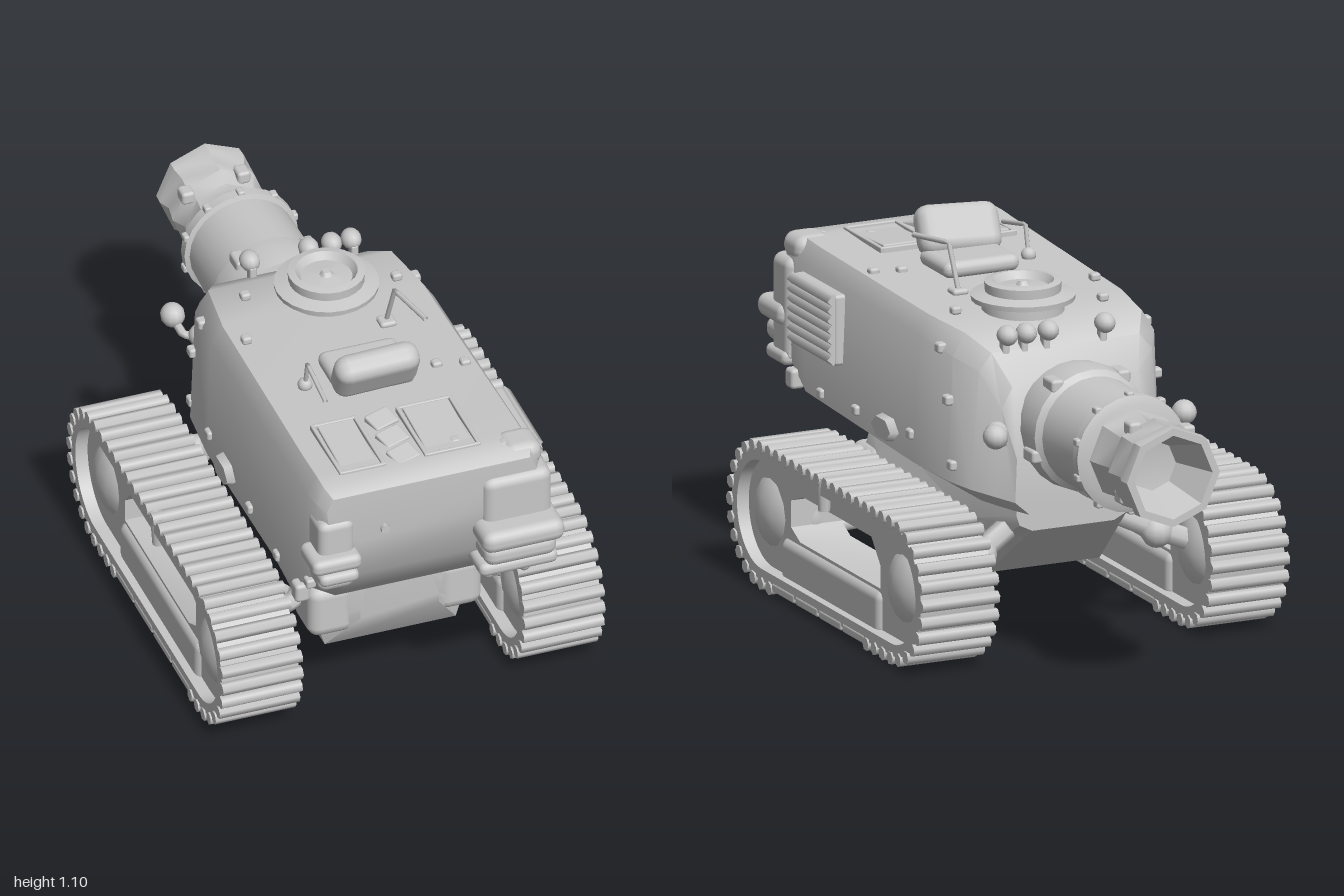
import * as THREE from 'three';
import { toCreasedNormals } from 'three/addons/utils/BufferGeometryUtils.js';
import { RoundedBoxGeometry } from 'three/addons/geometries/RoundedBoxGeometry.js';

const V = (x, y, z) => new THREE.Vector3(x, y, z);

// Closed skin over sections [z, yBottom, wBottom, yMid, wMid, yShoulder, wShoulder, yTop, wTop]
function loft(sections, crease = 0.6) {
  const pos = [], idx = [], n = 8;
  for (const [z, yb, wb, ym, wm, ys, ws, yt, wt] of sections) {
    const ring = [[-wb, yb], [wb, yb], [wm, ym], [ws, ys], [wt, yt], [-wt, yt], [-ws, ys], [-wm, ym]];
    for (const [x, y] of ring) pos.push(x, y, z);
  }
  const last = (sections.length - 1) * n;
  for (let i = 0; i < last; i += n) {
    for (let j = 0; j < n; j++) {
      const a = i + j, b = i + (j + 1) % n, c = b + n, d = a + n;
      idx.push(a, d, b, b, d, c);
    }
  }
  for (let j = 1; j < n - 1; j++) idx.push(0, j, j + 1, last, last + j + 1, last + j);
  const g = new THREE.BufferGeometry();
  g.setAttribute('position', new THREE.Float32BufferAttribute(pos, 3));
  g.setIndex(idx);
  return toCreasedNormals(g, crease);
}

// Capsule outline in the (z, y) plane
function capsule(Shape, r) {
  const s = new Shape();
  s.absarc(0.54, 0.22, r, Math.PI / 2, -Math.PI / 2, true);
  s.absarc(-0.32, 0.22, r, -Math.PI / 2, -Math.PI * 1.5, true);
  s.closePath();
  return s;
}

// Extrude a (z, y) shape to a width along x, centred on x = 0
function sideways(shape, width) {
  const g = new THREE.ExtrudeGeometry(shape, { depth: width, bevelEnabled: false, curveSegments: 14 });
  return toCreasedNormals(g.translate(0, 0, -width / 2).rotateY(-Math.PI / 2), 0.6);
}

export function createModel() {
  const model = new THREE.Group();
  const grey = new THREE.MeshStandardMaterial({ color: 0xc8c8c8, side: THREE.DoubleSide });
  grey.name = 'lightGrey';

  const add = (name, geometry, x = 0, y = 0, z = 0, parent = model) => {
    const m = new THREE.Mesh(geometry, grey);
    m.name = name;
    m.position.set(x, y, z);
    parent.add(m);
    return m;
  };
  const box = (name, w, h, d, x, y, z, r = 0.01) =>
    add(name, new RoundedBoxGeometry(w, h, d, 2, Math.min(r, w / 2.1, h / 2.1, d / 2.1)), x, y, z);
  const ball = (name, r, x, y, z, sx = 1, sy = 1, sz = 1) =>
    add(name, new THREE.SphereGeometry(r, 12, 8).scale(sx, sy, sz), x, y, z);
  const rod = (name, r, points) => {
    const path = new THREE.CurvePath();
    for (let i = 1; i < points.length; i++) path.add(new THREE.LineCurve3(points[i - 1], points[i]));
    return add(name, new THREE.TubeGeometry(path, 16, r, 6), 0, 0, 0);
  };

  // Upper hull, tapering toward the gun
  add('upperHull', loft([
    [0.905, 0.76, 0.22, 0.79, 0.31, 0.89, 0.32, 0.93, 0.3],
    [0.87, 0.62, 0.24, 0.67, 0.335, 0.9, 0.34, 0.95, 0.315],
    [0.80, 0.52, 0.23, 0.58, 0.355, 0.895, 0.345, 0.95, 0.315],
    [0.70, 0.43, 0.22, 0.52, 0.36, 0.89, 0.345, 0.945, 0.315],
    [0, 0.42, 0.23, 0.49, 0.355, 0.87, 0.34, 0.925, 0.305],
    [-0.19, 0.41, 0.23, 0.48, 0.335, 0.85, 0.32, 0.915, 0.28],
    [-0.27, 0.41, 0.21, 0.47, 0.3, 0.82, 0.275, 0.87, 0.235],
    [-0.335, 0.41, 0.19, 0.46, 0.255, 0.72, 0.235, 0.78, 0.2],
    [-0.385, 0.41, 0.17, 0.45, 0.215, 0.58, 0.21, 0.63, 0.18],
  ]));

  // Belly between the tracks
  add('lowerHull', loft([
    [0.64, 0.28, 0.12, 0.31, 0.12, 0.38, 0.1, 0.44, 0.1],
    [0.56, 0.155, 0.2, 0.22, 0.22, 0.34, 0.25, 0.44, 0.22],
    [0.4, 0.15, 0.2, 0.22, 0.22, 0.34, 0.26, 0.44, 0.22],
    [-0.12, 0.17, 0.18, 0.23, 0.21, 0.34, 0.24, 0.44, 0.22],
    [-0.32, 0.34, 0.13, 0.36, 0.17, 0.39, 0.18, 0.43, 0.18],
  ]));

  // Running gear, one unit on each side
  const plate = capsule(THREE.Shape, 0.17);
  const gap = new THREE.Path();
  [[0.36, 0.18], [-0.17, 0.18], [-0.17, 0.25], [-0.11, 0.32], [0.34, 0.32], [0.42, 0.29], [0.42, 0.21]]
    .forEach(([z, y], i) => (i ? gap.lineTo(z, y) : gap.moveTo(z, y)));
  gap.closePath();
  plate.holes.push(gap);
  const belt = capsule(THREE.Shape, 0.195);
  belt.holes.push(capsule(THREE.Path, 0.16));
  const plateGeo = sideways(plate, 0.16), beltGeo = sideways(belt, 0.235);
  const ribGeo = new THREE.CylinderGeometry(0.02, 0.02, 0.246, 6).rotateZ(Math.PI / 2);
  const outline = capsule(THREE.Path, 0.203).getSpacedPoints(56).slice(1)
    .filter(p => p.y > 0.05 || p.x > 0.48 || p.x < -0.15);
  for (const s of [1, -1]) {
    const track = new THREE.Group();
    track.name = s > 0 ? 'leftTrack' : 'rightTrack';
    track.position.x = s * 0.461;
    model.add(track);
    add('trackFrame', plateGeo, 0, 0, 0, track);
    add('trackBelt', beltGeo, 0, 0, 0, track);
    outline.forEach((p, i) => {
      add('trackRib', ribGeo, 0, p.y, p.x, track).rotation.x = i * 0.4;
    });
    for (const z of [0.56, -0.32]) {
      add('wheelHub', new THREE.SphereGeometry(0.145, 16, 10).scale(0.78, 1, 1), 0, 0.22, z, track);
    }
    add('lowerSkirt', new RoundedBoxGeometry(0.19, 0.14, 0.66, 2, 0.03), 0, 0.105, 0.14, track);
    for (let i = 0; i < 4; i++) {
      add('groundPad', new RoundedBoxGeometry(0.24, 0.028, 0.15, 1, 0.008), 0, 0.024, -0.07 + i * 0.155, track);
    }
    add('returnRoller', new THREE.CylinderGeometry(0.025, 0.018, 0.1, 8), s * 0.1, 0.38, 0.16, track);

    // Suspension arms
    box('suspensionHousing', 0.14, 0.17, 0.16, s * 0.195, 0.305, 0.54, 0.035);
    rod('suspensionArm', 0.028, [V(s * 0.2, 0.35, 0.5), V(s * 0.29, 0.3, 0.52), V(s * 0.4, 0.32, 0.54)]);
    rod('driveArm', 0.035, [V(s * 0.1, 0.37, -0.22), V(s * 0.27, 0.29, -0.28), V(s * 0.4, 0.24, -0.32)]);
    ball('armJoint', 0.048, s * 0.28, 0.28, -0.29);
    rod('lowerArm', 0.018, [V(s * 0.26, 0.27, 0.4), V(s * 0.31, 0.2, 0.42), V(s * 0.38, 0.19, 0.44)]);
  }
  rod('damper', 0.018, [V(-0.31, 0.1, 0.42), V(-0.3, 0.24, 0.42)]);

  // Gun: mantlet, drum and flared muzzle pointing to the rear of the frame
  const gunPart = (name, pts, sides, crease) => add(name, toCreasedNormals(
    new THREE.LatheGeometry(pts.map(([r, d]) => new THREE.Vector2(r, d)), sides).rotateX(-Math.PI / 2), crease),
    0.008, 0.66, 0);
  gunPart('mantlet', [[0, 0.3], [0.18, 0.34], [0.188, 0.4], [0.182, 0.46], [0.165, 0.475], [0.16, 0.69],
    [0.174, 0.695], [0.174, 0.725], [0.15, 0.735], [0, 0.735]], 24, 0.6);
  gunPart('muzzle', [[0.14, 0.72], [0.138, 0.76], [0.122, 0.83], [0.145, 0.87], [0.135, 0.93], [0.15, 0.965],
    [0.148, 1], [0.125, 1], [0.075, 0.86], [0, 0.85]], 8, 0.7);
  for (let i = 0; i < 10; i++) {
    const a = i * Math.PI / 5 + 0.3, c = Math.cos(a), s = Math.sin(a);
    box('drumBolt', 0.022, 0.022, 0.03, 0.008 + 0.172 * c, 0.66 + 0.172 * s, -0.71, 0.006);
    if (i % 2) box('mantletLug', 0.04, 0.04, 0.07, 0.008 + 0.18 * c, 0.66 + 0.18 * s, -0.43);
  }
  for (const [x, y] of [[-0.1, 0.75], [0.07, 0.78], [0.1, 0.58], [-0.08, 0.56]])
    box('muzzleLug', 0.04, 0.04, 0.05, x, y, -0.86, 0.01);

  // Roof hatch
  add('hatch', toCreasedNormals(new THREE.LatheGeometry([[0.12, 0], [0.12, 0.03], [0.15, 0.035], [0.152, 0.05],
    [0.11, 0.06], [0.112, 0.088], [0.09, 0.092], [0.075, 0.07], [0.02, 0.076], [0.012, 0.088], [0, 0.088]]
    .map(([r, y]) => new THREE.Vector2(r, y)), 24), 0.5), 0.03, 0.917, -0.05);

  // Reclined seat
  box('seatBase', 0.24, 0.05, 0.19, 0, 0.955, 0.365, 0.025);
  const back = box('seatBack', 0.255, 0.15, 0.09, -0.01, 1.02, 0.465, 0.04);
  back.rotation.x = 0.5;
  back.rotation.z = 0.06;

  // Roof rods
  rod('periscope', 0.008, [V(0.14, 0.92, 0.14), V(0.15, 1.07, 0.19), V(0.19, 1.06, 0.34)]);
  box('periscopeFoot', 0.05, 0.02, 0.05, 0.14, 0.935, 0.15);
  rod('lever', 0.007, [V(-0.19, 0.94, 0.37), V(-0.19, 1.03, 0.39), V(-0.19, 1.0, 0.54)]);
  ball('leverFoot', 0.022, -0.19, 0.945, 0.37);

  // Engine deck grilles
  for (const [x, w] of [[-0.18, 0.13], [0.095, 0.16]]) {
    for (const s of [1, -1]) {
      box('grilleFrame', 0.012, 0.02, 0.25, x + s * w / 2, 0.948, 0.7, 0.004);
      box('grilleFrame', w, 0.02, 0.012, x, 0.948, 0.7 + s * 0.12, 0.004);
    }
    const lid = box('grilleLid', w - 0.02, 0.012, 0.22, x, 0.948, 0.7, 0.004);
    lid.rotation.x = 0.06;
  }
  for (const z of [0.61, 0.7, 0.79]) {
    const slat = box('deckSlat', 0.08, 0.025, 0.065, -0.045, 0.945, z, 0.006);
    slat.rotation.set(0.2, 0.3, 0);
  }

  // Front lamp boxes
  box('leftLampBox', 0.21, 0.31, 0.12, 0.26, 0.73, 0.865, 0.03);
  box('leftLampUpper', 0.25, 0.07, 0.17, 0.255, 0.71, 0.912, 0.03);
  box('leftLampMiddle', 0.22, 0.07, 0.14, 0.255, 0.645, 0.9, 0.03);
  box('leftLampLower', 0.24, 0.045, 0.13, 0.255, 0.585, 0.88, 0.02);
  for (const x of [0.185, 0.295]) ball('lampDrop', 0.02, x, 0.535, 0.87, 1, 1.3, 1);
  box('rightLampBox', 0.11, 0.24, 0.11, -0.29, 0.73, 0.86, 0.025);
  box('rightLampUpper', 0.15, 0.05, 0.13, -0.3, 0.72, 0.885, 0.02);
  box('rightLampLower', 0.12, 0.04, 0.12, -0.29, 0.665, 0.88, 0.018);
  box('cornerCap', 0.12, 0.08, 0.12, 0.29, 0.915, 0.83, 0.035);
  add('frontBolt', new THREE.CylinderGeometry(0.014, 0.014, 0.03, 6).rotateX(Math.PI / 2), -0.145, 0.795, 0.905);

  // Louvre panel on the left side
  box('louvrePanel', 0.04, 0.21, 0.28, 0.357, 0.76, 0.61);
  for (let i = 0; i < 7; i++) {
    add('louvreRib', new THREE.CylinderGeometry(0.019, 0.019, 0.27, 4).rotateX(Math.PI / 2), 0.38, 0.675 + i * 0.029, 0.61);
  }

  // Side fittings
  for (const s of [1, -1]) {
    add('hexPort', new THREE.CylinderGeometry(0.045, 0.055, 0.035, 6).rotateZ(-s * Math.PI / 2).scale(1, 0.75, 1.4),
      s * 0.36, 0.55, 0.17);
    for (const [x, y, z] of [[0.355, 0.54, 0.6], [0.355, 0.55, 0.37], [0.35, 0.57, 0.02], [0.33, 0.72, -0.18],
      [0.325, 0.86, -0.12], [0.345, 0.6, 0.83], [0.325, 0.53, -0.2]])
      box('sideBolt', 0.03, 0.03, 0.035, s * x, y, z, 0.008);
    box('sideBracket', 0.045, 0.06, 0.05, s * 0.355, 0.54, 0.78, 0.012);
    rod('lampArm', 0.013, [V(s * 0.22, 0.62, -0.34), V(s * 0.29, 0.64, -0.37), V(s * 0.3, 0.66, -0.43)]);
    ball('sideLamp', 0.036, s * 0.3, 0.67, -0.43, 1, 1, 1.1);
    ball('sideDome', 0.035, s * 0.25, 0.65, -0.335);
  }

  // Small domes on the sloping plate
  for (const x of [-0.12, 0.06, 0.13, 0.19]) {
    ball('slopeDome', 0.03, x, 0.92, -0.28, 1, 1, 1.2);
    box('domeFoot', 0.022, 0.07, 0.03, x, 0.88, -0.26, 0.006);
  }
  for (const [x, z] of [[-0.27, 0.1], [0.2, 0.4], [0.28, 0.42], [0.24, -0.04], [-0.2, -0.1], [0.25, 0.83], [0.12, 0.77]])
    box('roofBolt', 0.03, 0.024, 0.03, x, 0.94, z, 0.008);

  return model;
}
